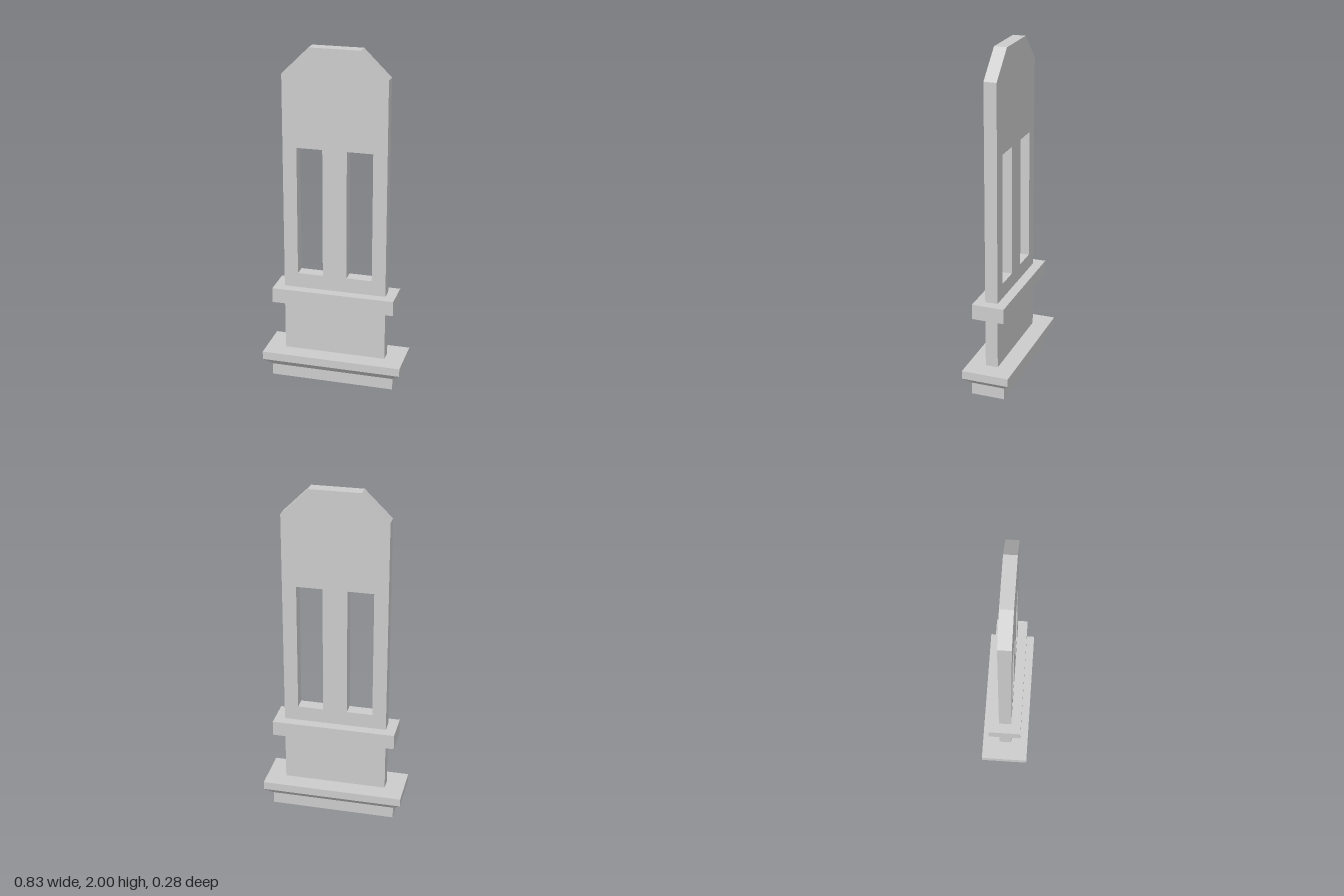
import * as THREE from 'three';

const grey = new THREE.MeshStandardMaterial({ color: 0xcccccc, flatShading: true });
const thin = new THREE.MeshStandardMaterial({ color: 0xcccccc, flatShading: true, side: THREE.DoubleSide });

function add(group, name, geometry, material = grey) {
  const mesh = new THREE.Mesh(geometry, material);
  mesh.name = name;
  group.add(mesh);
  return mesh;
}

// Block given by half width, half depth, bottom and top
function block(hx, hz, y0, y1) {
  return new THREE.BoxGeometry(hx * 2, y1 - y0, hz * 2).translate(0, (y0 + y1) / 2, 0);
}

// Open rectangular band between two levels [halfX, y, halfZ]
function band(lower, upper) {
  const corners = [[-1, 1], [1, 1], [1, -1], [-1, -1]];
  const ring = ([hx, y, hz]) => corners.map(([sx, sz]) => [sx * hx, y, sz * hz]);
  const a = ring(lower), b = ring(upper), pos = [];
  for (let i = 0; i < 4; i++) {
    const j = (i + 1) % 4;
    pos.push(...a[i], ...a[j], ...b[j], ...a[i], ...b[j], ...b[i]);
  }
  const g = new THREE.BufferGeometry();
  g.setAttribute('position', new THREE.Float32BufferAttribute(pos, 3));
  g.computeVertexNormals();
  return g;
}

export function createModel() {
  const model = new THREE.Group();
  model.name = 'slottedPanel';

  // Hollow foot, open underneath, with a flared moulding and a slab on top
  add(model, 'footSkirt', band([0.368, 0, 0.098], [0.368, 0.114, 0.098]), thin);
  add(model, 'footFlare', band([0.368, 0.07, 0.098], [0.417, 0.114, 0.14]), thin);
  add(model, 'footSlab', block(0.417, 0.14, 0.114, 0.163));

  // Upright panel with clipped top corners and two tall windows
  const outline = new THREE.Shape([
    [-0.304, 0.163], [0.304, 0.163], [0.304, 1.845],
    [0.147, 2], [-0.147, 2], [-0.304, 1.845],
  ].map(([x, y]) => new THREE.Vector2(x, y)));
  for (const s of [-1, 1]) {
    outline.holes.push(new THREE.Path([
      [0.071, 0.655], [0.071, 1.423], [0.222, 1.423], [0.222, 0.655],
    ].map(([x, y]) => new THREE.Vector2(s * x, y))));
  }
  const depth = 0.074;
  const panel = new THREE.ExtrudeGeometry(outline, { depth, bevelEnabled: false });
  add(model, 'panel', panel.translate(0, 0, -depth / 2));

  // Collar around the panel
  add(model, 'collar', block(0.363, 0.095, 0.477, 0.566));

  return model;
}
